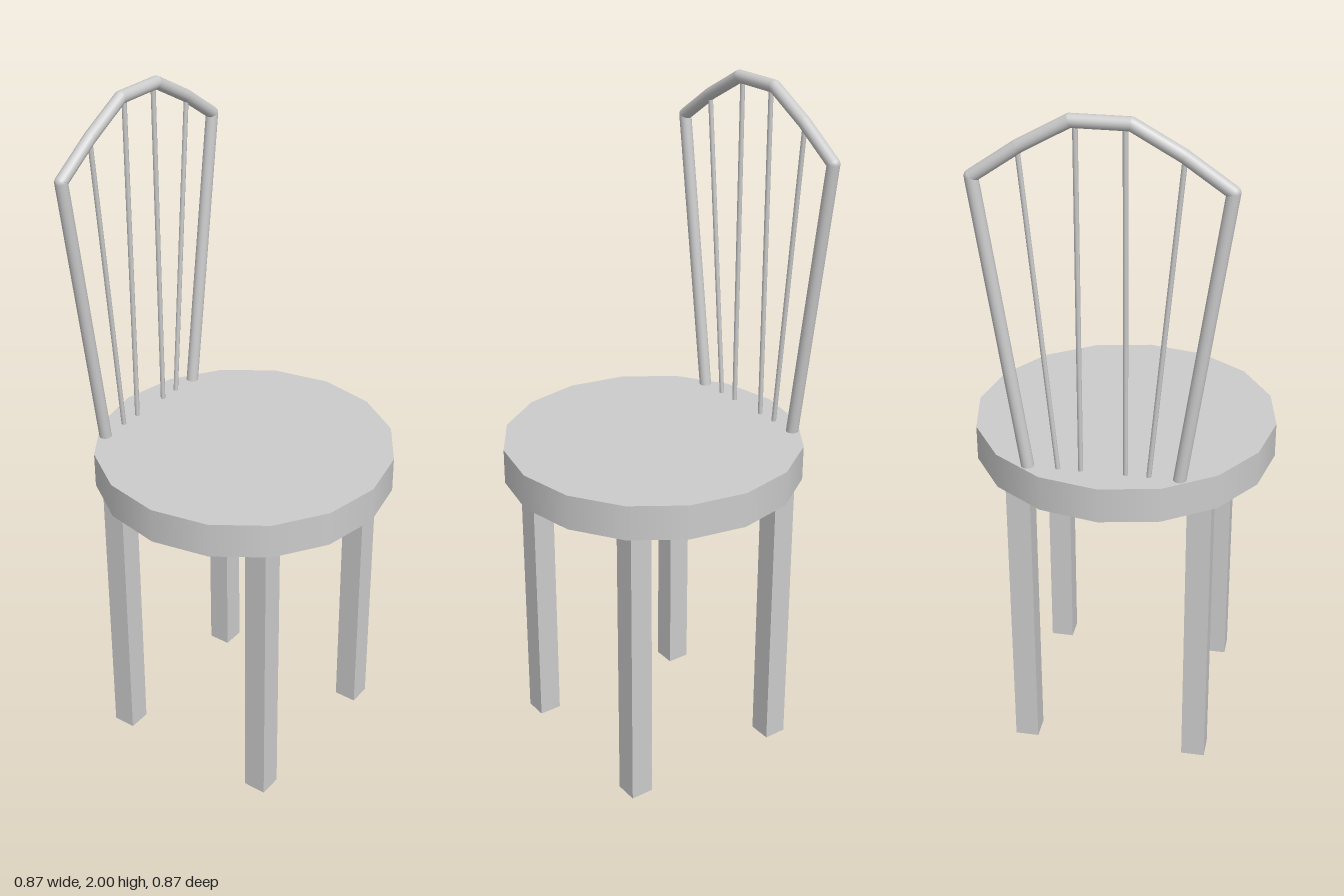
import * as THREE from 'three';

const grey = new THREE.MeshStandardMaterial({ color: 0xcccccc });
const BACK_X = -0.349;

function addMesh(parent, name, geometry, x = 0, y = 0, z = 0) {
  const mesh = new THREE.Mesh(geometry, grey);
  mesh.name = name;
  mesh.position.set(x, y, z);
  parent.add(mesh);
  return mesh;
}

// Round rod between two [z, y] points in the plane of the backrest
function addRod(parent, name, [z0, y0], [z1, y1], radius, sides) {
  const a = new THREE.Vector3(BACK_X, y0, z0);
  const b = new THREE.Vector3(BACK_X, y1, z1);
  const dir = b.clone().sub(a);
  const rod = addMesh(parent, name, new THREE.CylinderGeometry(radius, radius, dir.length(), sides));
  rod.position.copy(a).add(b).multiplyScalar(0.5);
  rod.quaternion.setFromUnitVectors(new THREE.Vector3(0, 1, 0), dir.normalize());
}

export function createModel() {
  const chair = new THREE.Group();
  chair.name = 'chair';

  // Sixteen-sided seat
  addMesh(chair, 'seat', new THREE.CylinderGeometry(0.437, 0.437, 0.104, 16), 0, 0.948, 0);

  // Four square legs
  for (const x of [-0.263, 0.245]) {
    for (const z of [-0.255, 0.258]) {
      addMesh(chair, 'leg', new THREE.BoxGeometry(0.069, 0.9, 0.069), x, 0.45, z);
    }
  }

  // Backrest frame: two splayed posts joined by an arched top rail
  const backrest = new THREE.Group();
  backrest.name = 'backrest';
  chair.add(backrest);
  const half = [[0.209, 0.995], [0.328, 1.825], [0.205, 1.91], [0.076, 1.982]];
  const path = [...half, ...half.map(([z, y]) => [-z, y]).reverse()];
  const radius = 0.018;
  for (let i = 0; i < path.length - 1; i++) {
    const isPost = i === 0 || i === path.length - 2;
    addRod(backrest, isPost ? 'backPost' : 'topRail', path[i], path[i + 1], radius, 16);
    if (i > 0) {
      const [z, y] = path[i];
      addMesh(backrest, 'railJoint', new THREE.SphereGeometry(radius, 16, 12), BACK_X, y, z);
    }
  }

  // Four thin spindles, the outer pair splayed
  for (const side of [-1, 1]) {
    addRod(backrest, 'innerSpindle', [side * 0.062, 0.995], [side * 0.062, 1.98], 0.007, 8);
    addRod(backrest, 'outerSpindle', [side * 0.125, 0.995], [side * 0.208, 1.905], 0.007, 8);
  }

  return chair;
}
